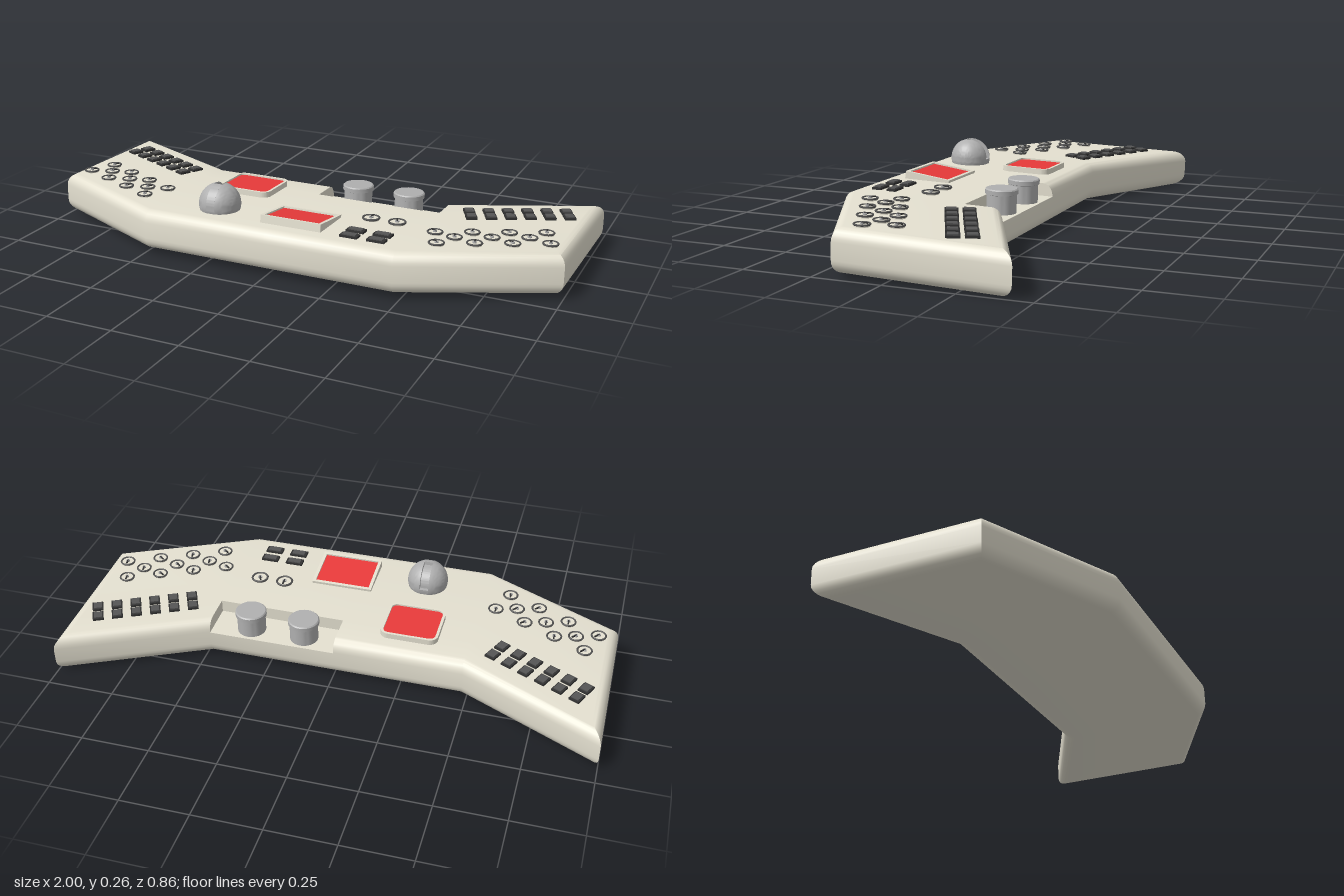
import * as THREE from 'three';
import { toCreasedNormals } from 'three/addons/utils/BufferGeometryUtils.js';

const H = 0.148, FLOOR = 0.1, BEND = 0.48, SLOPE = 0.48, SLANT = Math.atan(SLOPE);
const mat = (color, side = THREE.FrontSide) => new THREE.MeshStandardMaterial({ color, side });
const shell = mat(0xe4e0d0), metal = mat(0xb0b0b0), dark = mat(0x555555), black = mat(0x333333), red = mat(0xe83a3a);

function add(parent, name, geo, material, x = 0, y = 0, z = 0) {
  const m = new THREE.Mesh(geo, material);
  m.name = name;
  m.position.set(x, y, z);
  parent.add(m);
  return m;
}

// Winged casing: a rounded section carried along x, with a notch dropped into the back
function casingGeometry() {
  const zf = 0.425, zb = -0.18, bevel = 0.04, tall = 0.045, notchZ = -0.04, steps = 6;
  const rows = [];
  for (let k = 0; k <= steps; k++) {
    const a = (k / steps) * Math.PI / 2;
    rows.push({ i: bevel * (1 - Math.sin(a)), y: H - tall * (1 - Math.cos(a)) });
  }
  rows.push(...rows.slice().reverse().map(r => ({ i: r.i, y: H - r.y })));
  const front = rows.map(r => ({ ...r, z: zf - r.i }));
  const back = rows.map(r => ({ ...r, z: zb + r.i, drop: true })).reverse();
  const edge = { i: bevel, y: H, z: notchZ };
  const loop = [edge, ...front, ...back, { ...edge, drop: true }];

  const station = (x, notch = false) => loop.map(p => {
    const px = Math.abs(x) === 1 ? x * (1 - p.i) : x;
    const y = notch && p.drop ? Math.min(p.y, FLOOR) : p.y;
    return new THREE.Vector3(px, y, p.z - Math.max(0, Math.abs(px) - BEND) * SLOPE);
  });
  const st = [station(-1), station(-BEND), station(0), station(0, true),
    station(BEND, true), station(BEND), station(1)];

  const pos = [];
  const tri = (a, b, c) => {
    const area = b.clone().sub(a).cross(c.clone().sub(a)).length();
    if (area > 1e-9) for (const v of [a, b, c]) pos.push(v.x, v.y, v.z);
  };
  const quad = (a, b, c, d) => { tri(a, b, c); tri(a, c, d); };
  const n = loop.length;
  for (let s = 0; s < st.length - 1; s++)
    for (let j = 0; j < n; j++) {
      const k = (j + 1) % n;
      quad(st[s][j], st[s][k], st[s + 1][k], st[s + 1][j]);
    }
  // Rounded wing ends
  const L = st[0], R = st[st.length - 1];
  for (let k = 1; k < rows.length; k++) {
    const f0 = k, f1 = k + 1, b0 = n - 1 - k, b1 = n - 2 - k;
    quad(R[f0], R[f1], R[b1], R[b0]);
    quad(L[b0], L[b1], L[f1], L[f0]);
  }
  const g = new THREE.BufferGeometry();
  g.setAttribute('position', new THREE.Float32BufferAttribute(pos, 3));
  return toCreasedNormals(g, 0.6);
}

function roundRect(path, w, d, r) {
  const x = w / 2, y = d / 2, q = Math.PI / 2;
  path.absarc(x - r, y - r, r, 0, q);
  path.absarc(-x + r, y - r, r, q, 2 * q);
  path.absarc(-x + r, -y + r, r, 2 * q, 3 * q);
  path.absarc(x - r, -y + r, r, 3 * q, 4 * q);
  path.closePath();
  return path;
}

// Framed screen lying flat, its frame top at y = 0
function screen(name, w, d, r, border, h) {
  const g = new THREE.Group();
  g.name = name;
  const inner = (s) => roundRect(s, w - 2 * border, d - 2 * border, Math.max(r - border, 0.001));
  const outline = roundRect(new THREE.Shape(), w, d, r);
  outline.holes.push(inner(new THREE.Path()));
  const frame = new THREE.ExtrudeGeometry(outline, { depth: h, bevelEnabled: false, curveSegments: 5 });
  add(g, 'screenFrame', frame.rotateX(-Math.PI / 2), shell, 0, -h, 0);
  const glass = new THREE.ShapeGeometry(inner(new THREE.Shape()), 5);
  add(g, 'screenGlass', glass.rotateX(-Math.PI / 2), red, 0, -0.006, 0);
  return g;
}

function dial(parent, x, z, r, turn) {
  const g = new THREE.Group();
  g.name = 'dial';
  g.position.set(x, H, z);
  add(g, 'dialFace', new THREE.CylinderGeometry(r * 0.9, r * 0.9, 0.014, 20), shell);
  add(g, 'dialRim', new THREE.TorusGeometry(r * 0.9, r * 0.12, 6, 20).rotateX(Math.PI / 2), dark, 0, 0.007, 0);
  add(g, 'dialHub', new THREE.CylinderGeometry(r * 0.25, r * 0.25, 0.008, 10), metal, 0, 0.008, 0);
  add(g, 'dialNeedle', new THREE.BoxGeometry(r * 0.18, 0.004, r * 0.8), black, 0, 0.011, -r * 0.3);
  g.rotation.y = turn;
  parent.add(g);
}

function key(parent, x, z, w, d, turn = 0) {
  const g = new THREE.Group();
  g.name = 'key';
  g.position.set(x, H, z);
  g.rotation.y = turn;
  add(g, 'keyBezel', new THREE.BoxGeometry(w, 0.016, d), black);
  add(g, 'keyCap', new THREE.BoxGeometry(w * 0.75, 0.01, d * 0.75), dark, 0, 0.007, 0);
  parent.add(g);
}

// Ball with a groove running from its crown down the back
function trackball() {
  const g = new THREE.Group();
  g.name = 'ball';
  const R = 0.077, half = 0.017, a0 = Math.asin(half / R);
  const pts = [new THREE.Vector2(0, half)];
  for (let k = 0; k <= 14; k++) {
    const a = a0 + (Math.PI / 2 - a0) * k / 14;
    pts.push(new THREE.Vector2(Math.max(R * Math.cos(a), 0), R * Math.sin(a)));
  }
  const cap = toCreasedNormals(new THREE.LatheGeometry(pts, 40), 0.6);
  for (const s of [1, -1])
    add(g, 'ballSide', cap.clone().rotateZ(-s * Math.PI / 2), metal);
  const mid = new THREE.Shape();
  const rim = Math.sqrt(R * R - half * half);
  mid.absarc(0, 0, rim, -Math.PI, Math.PI * 0.46);
  mid.absarc(0, 0, 0.062, Math.PI * 0.46, Math.PI);
  mid.closePath();
  const core = new THREE.ExtrudeGeometry(mid, { depth: 2 * half, bevelEnabled: false, curveSegments: 32 });
  core.translate(0, 0, -half).rotateY(-Math.PI / 2);
  add(g, 'ballGroove', toCreasedNormals(core, 0.6), metal);
  return g;
}

export function createModel() {
  const root = new THREE.Group();
  root.name = 'controlConsole';
  const deck = new THREE.Group();
  deck.name = 'tiltedDeck';
  deck.position.y = 0.0135;
  deck.rotation.x = -0.03;
  root.add(deck);

  add(deck, 'casing', casingGeometry(), shell);

  // Knobs standing in the back notch
  const knobPts = [[0, 0], [0.053, 0], [0.053, 0.066], [0.058, 0.068], [0.058, 0.083], [0.054, 0.087], [0, 0.087]];
  const knob = toCreasedNormals(new THREE.LatheGeometry(knobPts.map(p => new THREE.Vector2(...p)), 32), 0.5);
  for (const x of [0.13, 0.335]) add(deck, 'knob', knob, metal, x, FLOOR, -0.115);

  // Screens
  const flat = screen('backScreen', 0.215, 0.195, 0.032, 0.01, 0.03);
  flat.position.set(-0.26, 0.169, -0.003);
  const raised = screen('frontScreen', 0.235, 0.18, 0.002, 0.012, 0.045);
  raised.position.set(0.063, 0.167, 0.25);
  raised.rotation.x = -0.105;
  deck.add(flat, raised);

  const ball = trackball();
  ball.position.set(-0.255, 0.169, 0.27);
  deck.add(ball);

  // Centre dials and keys
  for (const x of [0.285, 0.385]) {
    dial(deck, x, 0.135, 0.033, x > 0.3 ? 0.4 : 0);
    for (const z of [0.275, 0.333]) key(deck, x + 0.002, z, 0.066, 0.034);
  }

  // Mirrored wing clusters: two rows of keys, three rows of dials
  for (const s of [1, -1]) {
    for (let k = 0; k < 6; k++)
      for (let row = 0; row < 2; row++)
        key(deck, s * (0.575 + 0.064 * k + 0.025 * row), -0.1 - 0.031 * k + 0.054 * row, 0.04, 0.046, s * SLANT);
    for (const [x, z, count] of [[0.89, 0.005, 4], [0.85, 0.08, 3], [0.93, 0.105, 4]])
      for (let k = 0; k < count; k++)
        dial(deck, s * (x - 0.117 * k), z + 0.055 * k, 0.029, s * SLANT + (k % 2 ? 0.5 : -0.3));
  }
  return root;
}
